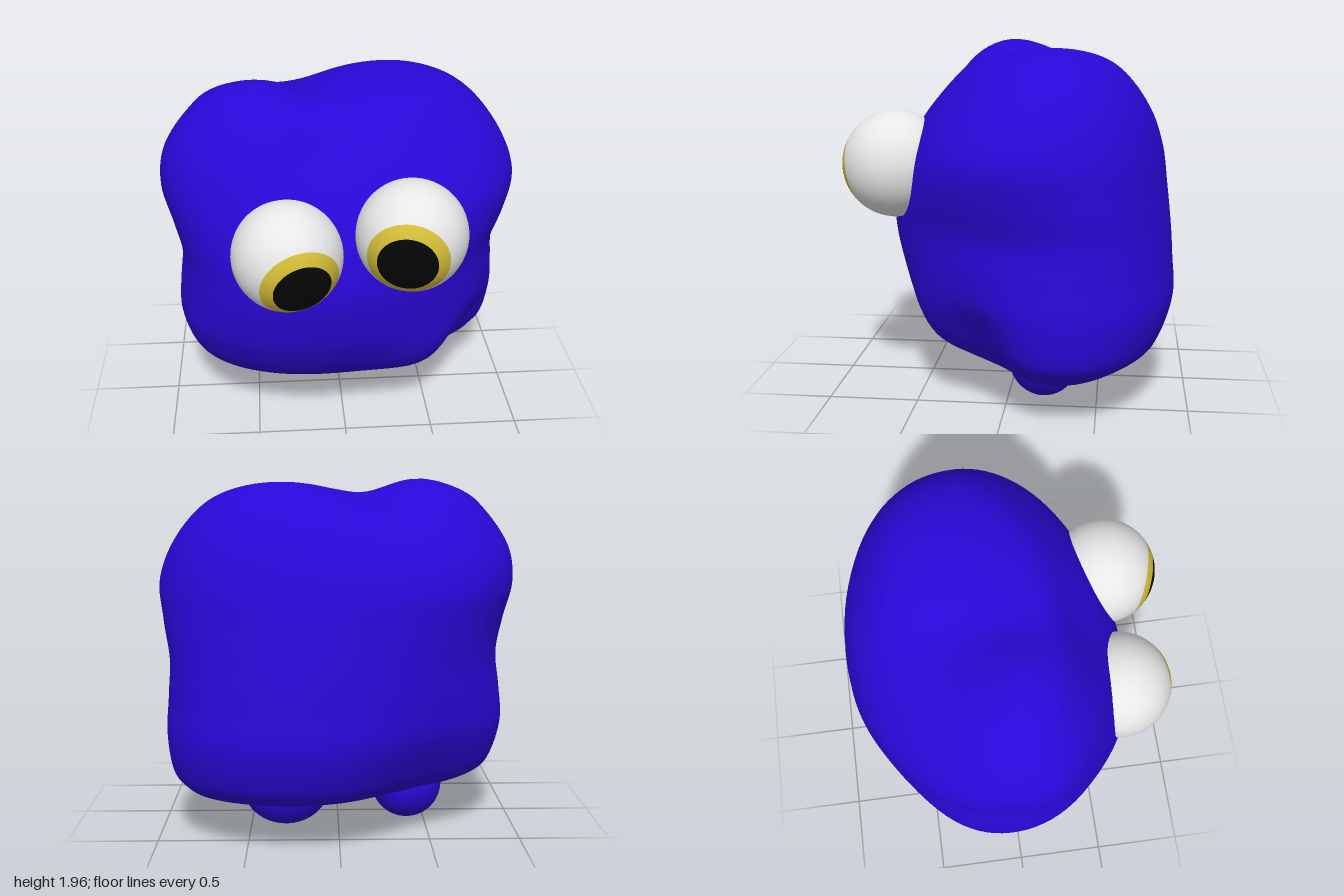
import * as THREE from 'three';
import { mergeVertices } from 'three/addons/utils/BufferGeometryUtils.js';

const mat = (name, color) => {
  const m = new THREE.MeshStandardMaterial({ color });
  m.name = name;
  return m;
};

const bump = (dx, dy, dz, r) => Math.exp(-(dx * dx + dy * dy + dz * dz) / (r * r));

// Body sections from bottom to top: [y, right extent (-x), left extent (+x), front z, widest z, back z]
const SECTIONS = [
  [0.17, 0, 0, -0.1, -0.1, -0.1],
  [0.175, 0.3, 0.35, 0.05, -0.13, -0.35],
  [0.22, 0.61, 0.76, 0.2, -0.17, -0.57],
  [0.3, 0.81, 0.88, 0.36, -0.18, -0.77],
  [0.4, 0.895, 0.935, 0.47, -0.18, -0.85],
  [0.6, 0.945, 0.955, 0.6, -0.17, -0.91],
  [0.8, 0.93, 0.935, 0.67, -0.15, -0.9],
  [1.0, 0.91, 0.92, 0.7, -0.12, -0.885],
  [1.2, 0.95, 0.97, 0.67, -0.07, -0.865],
  [1.4, 1, 1, 0.6, -0.05, -0.84],
  [1.6, 0.97, 0.93, 0.5, -0.06, -0.77],
  [1.78, 0.84, 0.785, 0.35, -0.08, -0.64],
  [1.87, 0.69, 0.61, 0.22, -0.1, -0.5],
  [1.9, 0.35, 0.31, 0.05, -0.1, -0.3],
  [1.9, 0, 0, -0.1, -0.1, -0.1],
];

// Soft hollows and bulges: [centre], radius, [push]
const DENTS = [
  [[0.74, 0.4, 0.12], 0.25, [-0.06, 0.05, -0.03]],
  [[0.48, 0.4, 0.42], 0.26, [0.03, -0.02, 0.05]],
  [[-0.5, 0.35, -0.6], 0.42, [0.06, 0.02, 0.1]],
  [[-0.12, 1.68, 0.45], 0.22, [0, -0.02, -0.04]],
  [[-0.35, 1.85, -0.45], 0.32, [0, -0.05, 0.02]],
  [[0.8, 1.02, -0.45], 0.28, [0.025, 0, -0.015]],
];

// Lumpy body: smooth loft of rounded sections with two crown lobes
function bodyGeometry() {
  const spline = (f) => new THREE.CatmullRomCurve3(
    SECTIONS.map((s) => new THREE.Vector3(...f(s))), false, 'catmullrom', 0.5);
  const widths = spline((s) => [s[1], s[0], s[2]]);
  const depths = spline((s) => [s[3], s[4], s[5]]);
  const rows = 84, cols = 96, pos = [], index = [];
  const power = (v) => Math.sign(v) * Math.pow(Math.abs(v), 2 / 2.07);

  for (let i = 0; i <= rows; i++) {
    const w = widths.getPoint(i / rows), d = depths.getPoint(i / rows);
    const pole = i === 0 || i === rows;
    const top = THREE.MathUtils.smoothstep(w.y, 1.4, 1.85);
    const shear = -0.11 + 0.06 * THREE.MathUtils.smoothstep(w.y, 0.9, 1.4) - 0.07 * top;
    for (let j = 0; j < cols; j++) {
      const a = (j / cols) * Math.PI * 2;
      const c = power(Math.cos(a)), s = power(Math.sin(a));
      let x = pole ? 0 : c * (c > 0 ? w.z : w.x);
      let z = d.y + s * (s > 0 ? d.x - d.y : d.y - d.z) + shear * x;
      let y = w.y;
      // crown lobes and the groove between them
      y += top * (0.075 * bump(x + 0.48, 0, z - 0.05, 0.27)
        + 0.055 * bump(x - 0.36, 0, z + 0.28, 0.36)
        - 0.035 * bump(x + 0.16, 0, (z + 0.1) * 0.4, 0.15));
      for (const [[cx, cy, cz], r, [px, py, pz]] of DENTS) {
        const k = bump(x - cx, y - cy, z - cz, r);
        x += k * px;
        y += k * py;
        z += k * pz;
      }
      pos.push(x, y, z);
      if (i < rows) {
        const p = i * cols + j, q = i * cols + ((j + 1) % cols);
        index.push(p, p + cols, q, q, p + cols, q + cols);
      }
    }
  }
  let g = new THREE.BufferGeometry();
  g.setAttribute('position', new THREE.Float32BufferAttribute(pos, 3));
  g.setIndex(index);
  g = mergeVertices(g, 1e-5);
  g.computeVertexNormals();
  return g;
}

export function createModel() {
  const blue = mat('blue skin', 0x2a07d8);
  const white = mat('eye white', 0xeeeeee);
  const yellow = mat('yellow iris', 0xd4bd38);
  const black = mat('black pupil', 0x060606);

  const model = new THREE.Group();
  model.name = 'blobCreature';
  const add = (parent, name, geometry, material) => {
    const m = new THREE.Mesh(geometry, material);
    m.name = name;
    parent.add(m);
    return m;
  };

  add(model, 'body', bodyGeometry(), blue);

  // Feet
  const foot = (name, position, radii) => {
    const m = add(model, name, new THREE.SphereGeometry(1, 40, 28), blue);
    m.position.set(...position);
    m.scale.set(...radii);
  };
  foot('rightFoot', [-0.39, 0.24, -0.2], [0.2, 0.2, 0.2]);
  foot('leftFoot', [0.3, 0.22, -0.2], [0.25, 0.22, 0.205]);

  // Eyes: one ball split into pupil, iris and white bands around the gaze axis
  const eye = (name, position, gx, gy) => {
    const g = new THREE.Group();
    g.name = name;
    const pupilEdge = 0.555, irisEdge = 0.805;
    const band = (part, from, to, rows, material) =>
      add(g, part, new THREE.SphereGeometry(0.295, 56, rows, 0, Math.PI * 2, from, to - from), material);
    band('pupil', 0, pupilEdge, 10, black);
    band('iris', pupilEdge, irisEdge, 5, yellow);
    band('eyeWhite', irisEdge, Math.PI, 28, white);
    const gaze = new THREE.Vector3(gx, gy, Math.sqrt(1 - gx * gx - gy * gy));
    g.quaternion.setFromUnitVectors(new THREE.Vector3(0, 1, 0), gaze);
    g.position.set(...position);
    model.add(g);
  };
  eye('rightEye', [-0.316, 1.216, 0.613], 0.27, -0.3);
  eye('leftEye', [0.332, 1.32, 0.625], -0.21, -0.175);

  return model;
}
